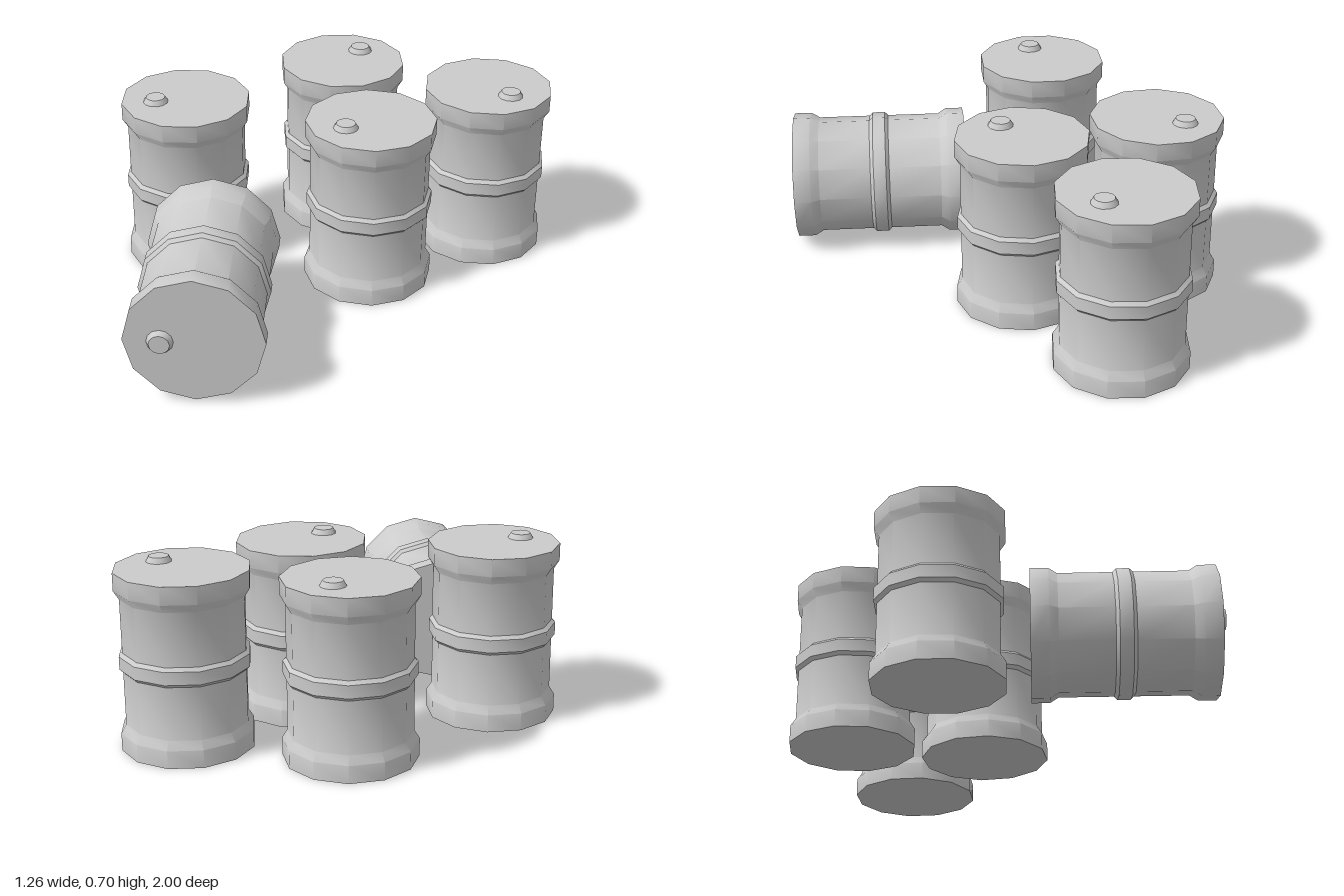
import * as THREE from 'three';
import { toCreasedNormals } from 'three/addons/utils/BufferGeometryUtils.js';

const SIDES = 12;
const HEIGHT = 0.68;
const deg = THREE.MathUtils.degToRad;

export function createModel() {
  const model = new THREE.Group();
  model.name = 'barrels';
  const material = new THREE.MeshStandardMaterial({ color: 0xcccccc });

  // Drum: flared rims at both ends and a chamfered hoop around the middle
  const profile = [
    [0, 0], [0.25, 0], [0.25, 0.068], [0.23, 0.1],
    [0.23, 0.303], [0.243, 0.316], [0.243, 0.365], [0.23, 0.378],
    [0.23, 0.58], [0.25, 0.613], [0.25, HEIGHT], [0, HEIGHT],
  ].map(([r, y]) => new THREE.Vector2(r, y));
  const drumGeometry = toCreasedNormals(new THREE.LatheGeometry(profile, SIDES), deg(35));

  // Small tapered bung on the lid
  const bungGeometry = toCreasedNormals(new THREE.CylinderGeometry(0.037, 0.048, 0.02, SIDES), deg(35));

  function barrel(name, x, y, z, turn, tilt = 0) {
    const group = new THREE.Group();
    group.name = name;
    const drum = new THREE.Mesh(drumGeometry, material);
    drum.name = 'drum';
    const bung = new THREE.Mesh(bungGeometry, material);
    bung.name = 'bung';
    bung.position.set(0.118, HEIGHT + 0.01, -0.005);
    group.add(drum, bung);
    group.position.set(x, y, z);
    group.rotation.set(deg(tilt), deg(turn), 0, 'YXZ');
    model.add(group);
  }

  // Four standing barrels
  barrel('backRightBarrel', -0.275, 0, -0.445, 100);
  barrel('backLeftBarrel', 0.26, 0, -0.75, 0);
  barrel('middleBarrel', 0.195, 0, -0.2, -96);
  barrel('frontRightBarrel', -0.385, 0, 0.25, -115);

  // One barrel lying on its side, lid towards the front left
  barrel('fallenBarrel', -0.047, 0.26, 0.363, -131.3, -90);

  return model;
}
